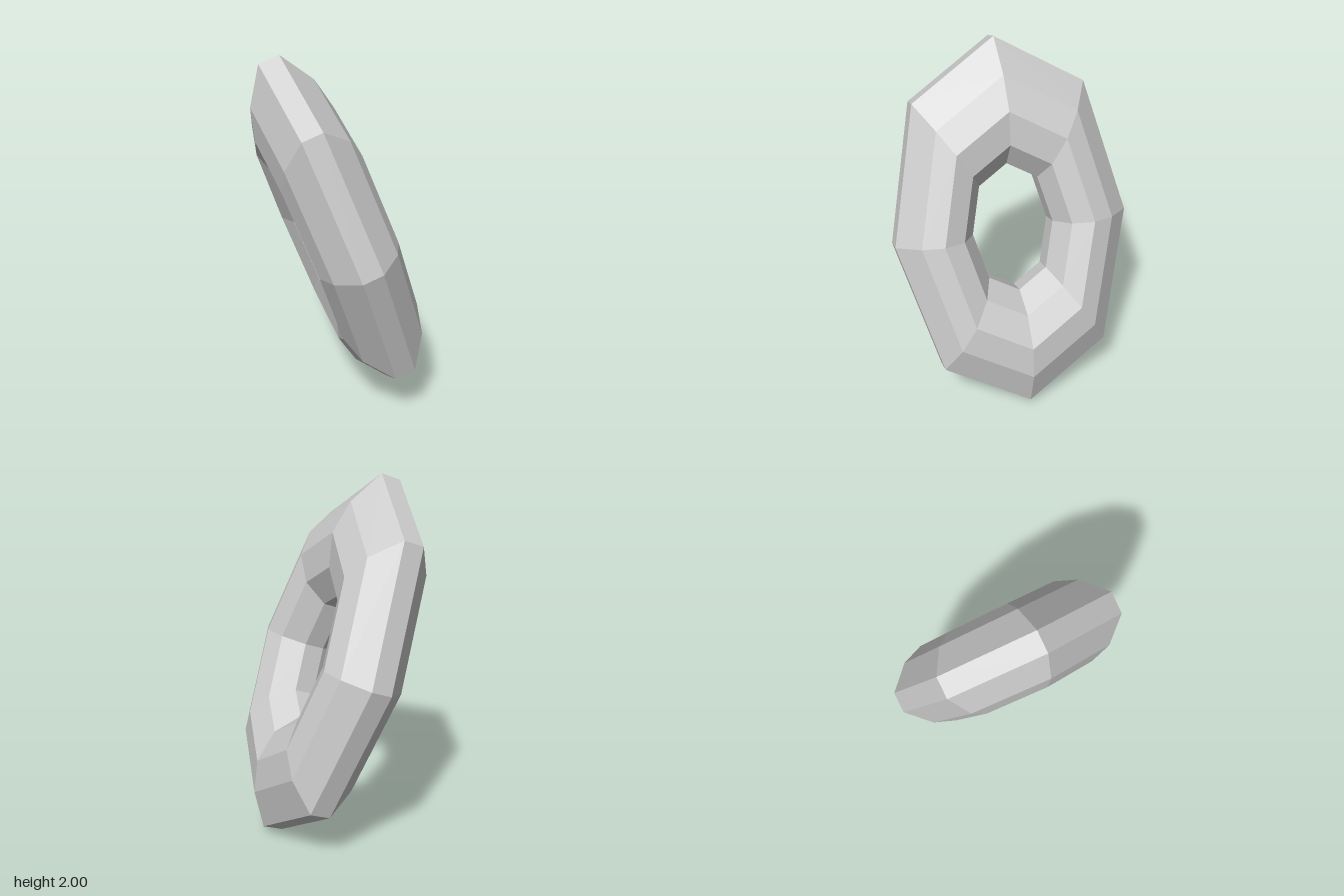
import * as THREE from 'three';

export function createModel() {
  const model = new THREE.Group();

  // Half of the ten-sided tube section: distance from ring centre, half thickness
  const half = [[0.363, 0.057], [0.48, 0.18], [0.664, 0.226], [0.849, 0.181], [1.042, 0.058]];
  const section = [
    ...half.map(([r, t]) => new THREE.Vector2(r, -t)),
    ...half.slice().reverse().map(([r, t]) => new THREE.Vector2(r, t)),
  ];
  section.push(section[0].clone());

  // Eight-sided ring, narrowed to an oval with slightly fuller diagonals
  const geometry = new THREE.LatheGeometry(section, 8);
  const p = geometry.attributes.position;
  for (let i = 0; i < p.count; i++) {
    const x = p.getX(i), z = p.getZ(i);
    const diagonal = Math.min(Math.abs(x), Math.abs(z)) > 0.01;
    const k = diagonal ? 1.018 : 1;
    p.setXYZ(i, x * k, p.getY(i), z * k * 0.63);
  }
  geometry.computeVertexNormals();

  // Stand the ring up, leaning 20 degrees to the side
  const ring = new THREE.Mesh(
    geometry,
    new THREE.MeshStandardMaterial({ color: 0xcccccc, flatShading: true })
  );
  ring.name = 'ovalRing';
  ring.rotation.z = THREE.MathUtils.degToRad(-70);
  ring.position.y = 1;
  model.add(ring);

  return model;
}
